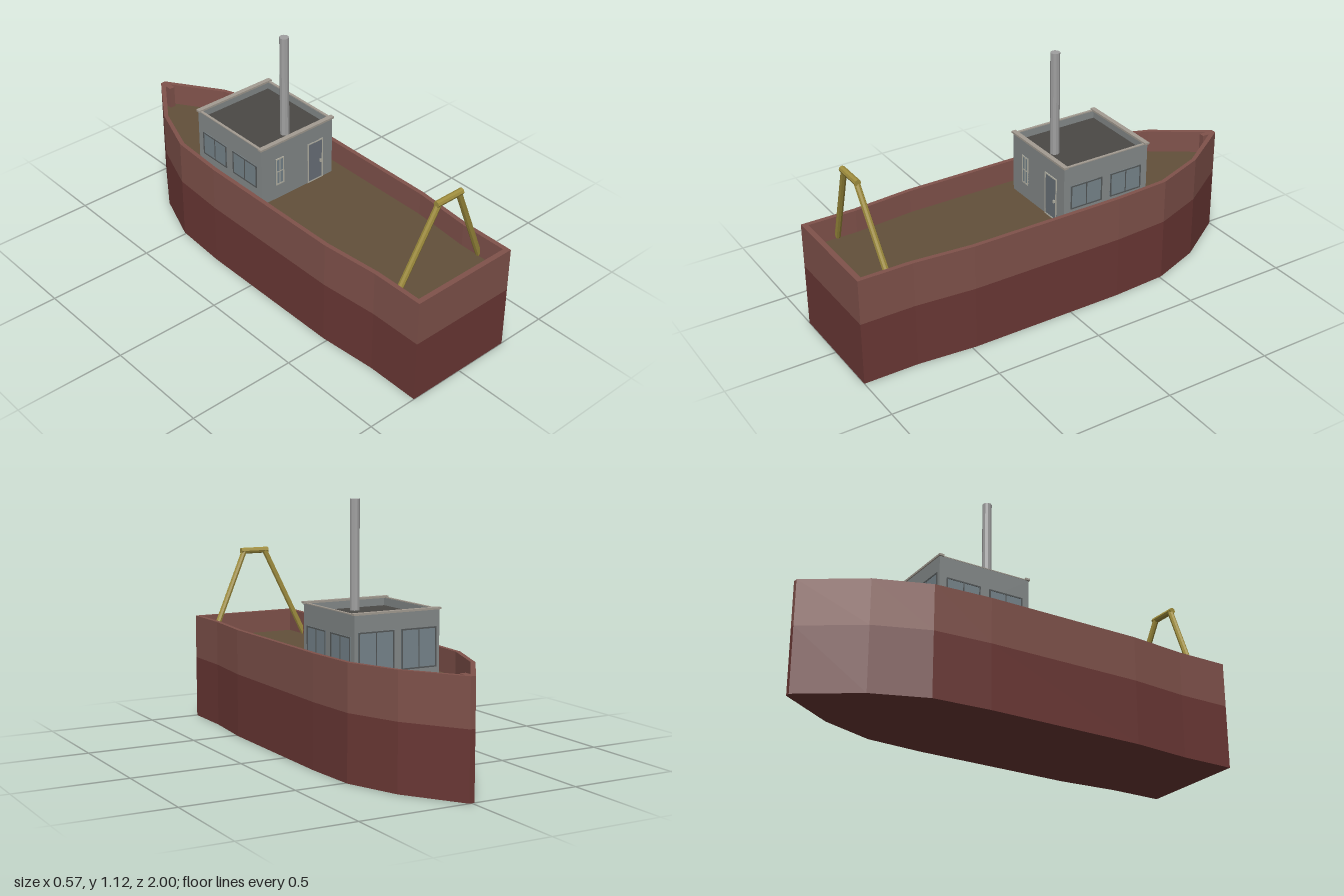
import * as THREE from 'three';

const mat = (color) => new THREE.MeshStandardMaterial({ color, flatShading: true });
const M = {
  hullLow: mat(0x6b3835), hullUp: mat(0x80524b), deck: mat(0x62503a), cabin: mat(0x858a8a),
  trim: mat(0xa39c92), roof: mat(0x4a4845), mast: mat(0xa0a0a0), gantry: mat(0xa08e3e),
  glass: mat(0x77858c), door: mat(0x6b727a), frame: mat(0x55595a), pale: mat(0xb5b3a6),
};
const DECK = 0.39, RAIL = 0.495, BAND = 0.29;

// Half outlines [x, z] from stern to bow
const OUTER = [[0.262, 1], [0.262, 0.75], [0.286, 0.48], [0.286, -0.25], [0.27, -0.51], [0.18, -0.75], [0.012, -1]];
const INNER = [[0.241, 0.976], [0.241, 0.755], [0.266, 0.48], [0.266, -0.25], [0.251, -0.503], [0.164, -0.74], [0.008, -0.968]];

function outline(half, Type = THREE.Shape) {
  const right = half.map(([x, z]) => new THREE.Vector2(x, -z));
  const left = half.map(([x, z]) => new THREE.Vector2(-x, -z)).reverse();
  return new Type([...right, ...left]);
}

function mesh(parent, name, geometry, material, x = 0, y = 0, z = 0) {
  const m = new THREE.Mesh(geometry, material);
  m.name = name;
  m.position.set(x, y, z);
  parent.add(m);
  return m;
}

const box = (parent, name, material, w, h, d, x, y, z) =>
  mesh(parent, name, new THREE.BoxGeometry(w, h, d), material, x, y, z);

// Horizontal slab extruded upwards from y0 to y1
function slab(parent, name, shape, material, y0, y1) {
  const g = new THREE.ExtrudeGeometry(shape, { depth: y1 - y0, bevelEnabled: false });
  g.rotateX(-Math.PI / 2);
  return mesh(parent, name, g, material, 0, y0, 0);
}

// Round bar between two points
function bar(parent, name, a, b, radius, material) {
  const dir = b.clone().sub(a);
  const m = mesh(parent, name, new THREE.CylinderGeometry(radius, radius, dir.length(), 8), material);
  m.position.copy(a).lerp(b, 0.5);
  m.quaternion.setFromUnitVectors(new THREE.Vector3(0, 1, 0), dir.normalize());
  return m;
}

// Framed panel facing local +z, with optional upright and cross bars
function opening(parent, name, w, h, panel, frame, uprights = 0, crossbars = 0) {
  const g = new THREE.Group();
  g.name = name;
  const t = 0.006, d = 0.008;
  box(g, 'pane', panel, w, h, 0.004, 0, 0, 0);
  for (const s of [-1, 1]) {
    box(g, 'frameSide', frame, t, h, d, s * (w - t) / 2, 0, 0);
    box(g, 'frameEnd', frame, w, t, d, 0, s * (h - t) / 2, 0);
  }
  for (let i = 1; i <= uprights; i++) box(g, 'upright', frame, t * 0.7, h, d, -w / 2 + w * i / (uprights + 1), 0, 0);
  for (let i = 1; i <= crossbars; i++) box(g, 'crossbar', frame, w, t * 0.6, d, 0, -h / 2 + h * i / (crossbars + 1), 0);
  parent.add(g);
  return g;
}

function buildHull() {
  const g = new THREE.Group();
  g.name = 'hull';
  slab(g, 'lowerHull', outline(OUTER), M.hullLow, 0, BAND);
  const ring = outline(OUTER);
  ring.holes.push(outline(INNER, THREE.Path));
  slab(g, 'bulwark', ring, M.hullUp, BAND, RAIL);
  slab(g, 'deck', outline(INNER), M.deck, BAND, DECK);
  box(g, 'stemPost', M.hullUp, 0.026, RAIL - DECK, 0.055, 0, (RAIL + DECK) / 2, -0.955);
  return g;
}

function buildCabin() {
  const g = new THREE.Group();
  g.name = 'cabin';
  const hw = 0.203, zF = -0.015, zB = -0.452, top = 0.67, roofY = 0.637, t = 0.012;
  const zc = (zF + zB) / 2, len = zF - zB, h = top - DECK, yc = DECK + h / 2;
  for (const s of [-1, 1]) {
    box(g, 'sideWall', M.cabin, t, h, len, s * (hw - t / 2), yc, zc);
    box(g, 'sideTrim', M.trim, t, 0.004, len, s * (hw - t / 2 + 0.001), top + 0.002, zc);
  }
  box(g, 'frontWall', M.cabin, hw * 2, h, t, 0, yc, zF - t / 2);
  box(g, 'backWall', M.cabin, hw * 2, h, t, 0, yc, zB + t / 2);
  box(g, 'frontTrim', M.trim, 0.42, 0.009, 0.022, 0, top + 0.0045, zF - 0.006);
  box(g, 'backTrim', M.trim, 0.42, 0.009, 0.022, 0, top + 0.0045, zB + 0.006);
  box(g, 'roof', M.roof, (hw - t) * 2, 0.02, len - 2 * t, 0, roofY - 0.01, zc);

  // Front door with handle, and small paned window
  const door = opening(g, 'door', 0.09, 0.205, M.door, M.pale);
  door.position.set(0.102, DECK + 0.1025, zF);
  box(door, 'handle', M.pale, 0.006, 0.014, 0.012, 0.03, -0.01, 0.003);
  opening(g, 'smallWindow', 0.046, 0.135, M.glass, M.pale, 1, 1).position.set(-0.103, 0.5285, zF);

  // Two windows per side
  for (const s of [-1, 1]) for (const z of [-0.13, -0.337]) {
    const w = opening(g, 'sideWindow', 0.163, 0.113, M.glass, M.frame, 1);
    w.position.set(s * hw, 0.522, z);
    w.rotation.y = s * Math.PI / 2;
  }
  // Two tall windows looking towards the bow
  for (const s of [-1, 1]) {
    const w = opening(g, 'bowWindow', 0.17, 0.17, M.glass, M.frame, 1);
    w.position.set(s * 0.102, 0.515, zB);
    w.rotation.y = Math.PI;
  }
  mesh(g, 'mast', new THREE.CylinderGeometry(0.021, 0.021, 1.115 - roofY, 10), M.mast, 0, (1.115 + roofY) / 2, -0.1);
  return g;
}

function buildGantry() {
  const g = new THREE.Group();
  g.name = 'gantry';
  const v = (x, y, z) => new THREE.Vector3(x, y, z);
  for (const s of [-1, 1]) bar(g, 'gantryLeg', v(s * 0.25, DECK, 0.843), v(s * 0.055, 0.81, 0.88), 0.0135, M.gantry);
  bar(g, 'gantryBeam', v(-0.071, 0.812, 0.881), v(0.071, 0.812, 0.881), 0.0145, M.gantry);
  return g;
}

export function createModel() {
  const model = new THREE.Group();
  model.name = 'boat';
  model.add(buildHull(), buildCabin(), buildGantry());
  return model;
}
